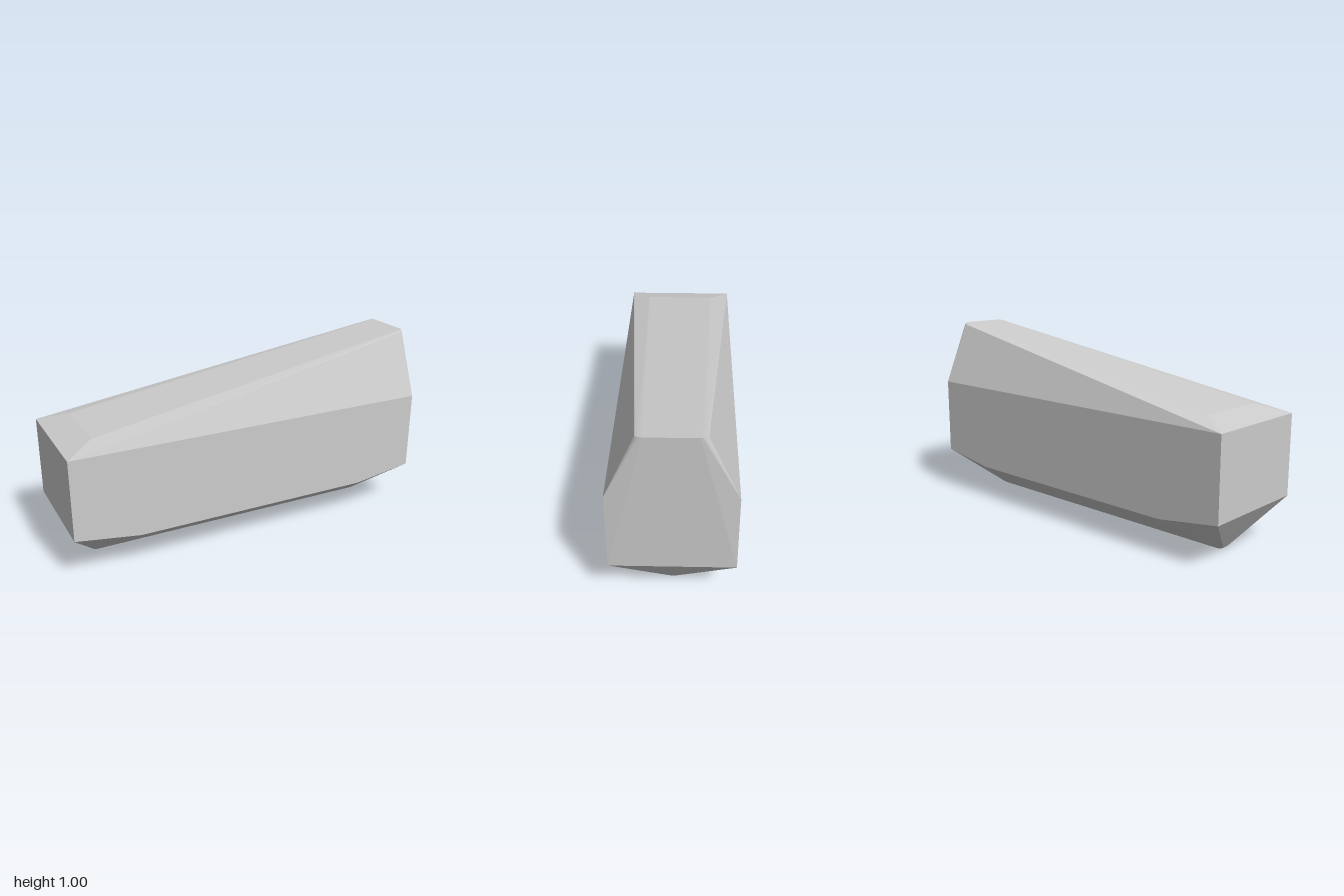
import * as THREE from 'three';
import { ConvexGeometry } from 'three/addons/geometries/ConvexGeometry.js';

export function createModel() {
  const group = new THREE.Group();
  group.name = 'facetedBlock';

  // Corners of one half (z > 0), mirrored to the other side
  const half = [
    // vertical side wall
    [-1, 0.655, 0.3], [-1, 0.235, 0.3], [0.98, 0.655, 0.3], [0.98, 0.235, 0.3],
    // lower edge of the side wall
    [-0.66, 0.185, 0.3], [0.64, 0.185, 0.3],
    // sloping top, low end
    [-0.85, 0.7, 0.19],
  ];

  // Softened ends of the narrow keel
  for (const [end, s] of [[-0.85, 1], [0.83, -1]]) {
    for (let i = 0; i <= 3; i++) {
      const a = (i / 3) * Math.PI / 2;
      half.push([end + s * 0.035 * (1 - Math.cos(a)), 0.016 * (1 - Math.sin(a)), 0.01 + 0.015 * Math.sin(a)]);
    }
  }

  // Rounded upper corner at the high end
  for (let i = 0; i <= 5; i++) {
    const a = (i / 5) * Math.PI / 2;
    const s = Math.sin(a), c = Math.cos(a);
    half.push([0.965 + 0.035 * c, 0.985 + 0.015 * c, 0.12 + 0.036 * s]);
  }

  const points = half.flatMap(([x, y, z]) => [new THREE.Vector3(x, y, z), new THREE.Vector3(x, y, -z)]);
  const body = new THREE.Mesh(
    new ConvexGeometry(points),
    new THREE.MeshStandardMaterial({ color: 0xcccccc, flatShading: true })
  );
  body.name = 'body';
  group.add(body);
  return group;
}
